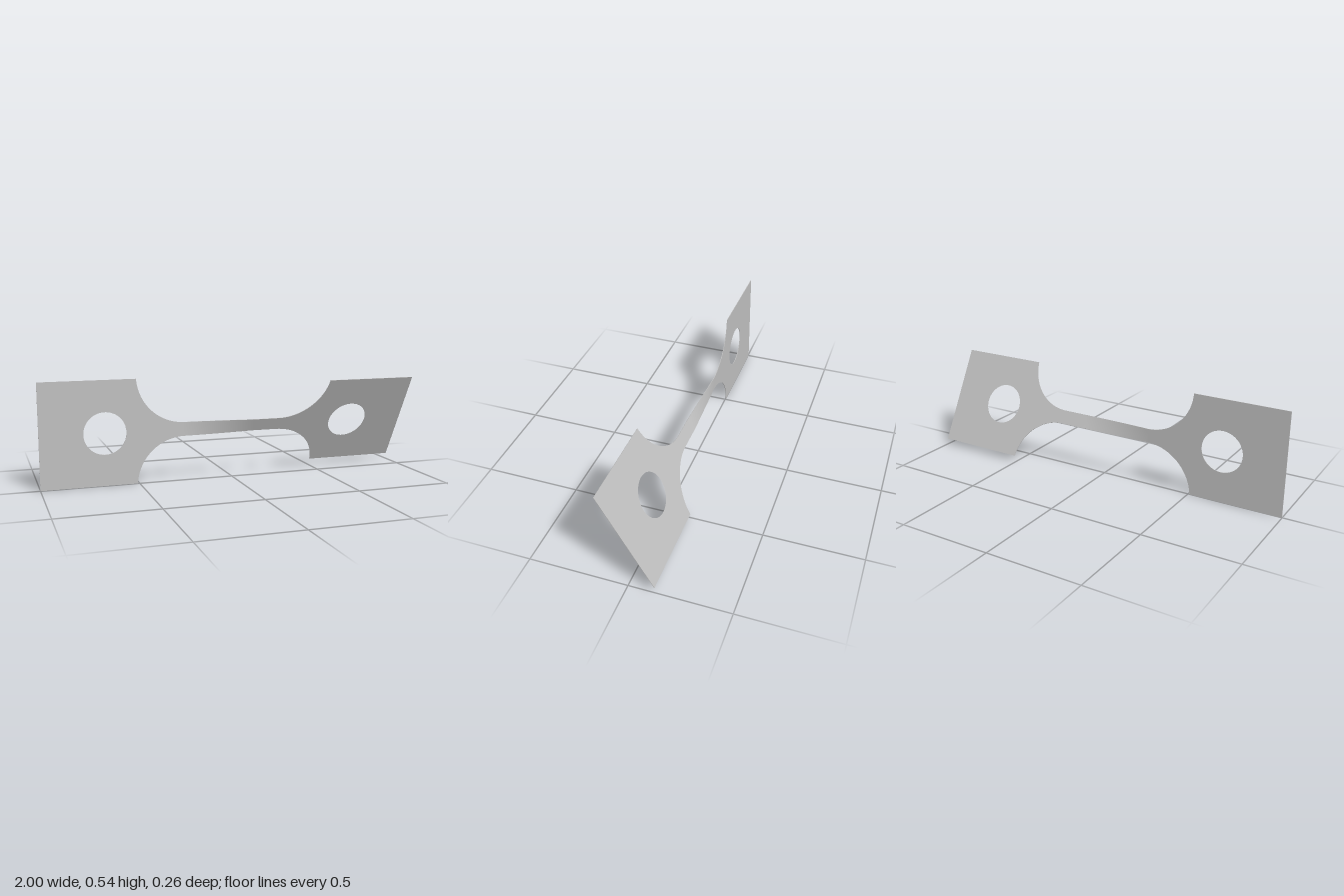
import * as THREE from 'three';

const T = 0.003;          // sheet thickness
const H = 0.2712;         // half height of the end plates
const G = 0.0365;         // half height of the narrow strip
const X0 = 0.26;          // where the strip meets the fillets
const R = 0.25;           // fillet radius
const ANGLE_LEFT = 0.01;  // tilt at the -x end
const ANGLE_RIGHT = 0.496; // tilt at the +x end

// End plate with two concave fillets and a round hole; side is +1 or -1
function endPlate(side, angle, material) {
  const pts = [];
  const sweep = Math.asin((G + R - H) / R);
  for (let i = 0; i <= 24; i++) {
    const a = -Math.PI / 2 + (i / 24) * (Math.PI / 2 - sweep);
    pts.push([X0 + R * Math.cos(a), G + R + R * Math.sin(a)]);
  }
  const outline = [
    ...pts, [1, H], [1, -H],
    ...pts.slice().reverse().map(([x, y]) => [x, -y]),
  ].map(([x, y]) => new THREE.Vector2(side * x, y));
  const shape = new THREE.Shape(outline);
  const hole = new THREE.Path();
  hole.absarc(side * 0.672, 0, 0.109, 0, Math.PI * 2, true);
  shape.holes.push(hole);
  const geo = new THREE.ExtrudeGeometry(shape, { depth: T, bevelEnabled: false, curveSegments: 48 });
  geo.translate(0, 0, -T / 2);
  const mesh = new THREE.Mesh(geo, material);
  mesh.rotation.x = angle;
  return mesh;
}

// Narrow strip twisted about its long axis
function twistedStrip(material) {
  const geo = new THREE.BoxGeometry(2 * X0, 2 * G, T, 60, 4, 1);
  const p = geo.attributes.position;
  const v = new THREE.Vector3();
  const axis = new THREE.Vector3(1, 0, 0);
  for (let i = 0; i < p.count; i++) {
    v.fromBufferAttribute(p, i);
    const t = THREE.MathUtils.clamp((v.x + X0) / (X0 + 0.12), 0, 1);
    v.applyAxisAngle(axis, THREE.MathUtils.lerp(ANGLE_LEFT, ANGLE_RIGHT, t));
    p.setXYZ(i, v.x, v.y, v.z);
  }
  geo.computeVertexNormals();
  return new THREE.Mesh(geo, material);
}

export function createModel() {
  const group = new THREE.Group();
  group.name = 'twistedSheetSpecimen';
  const metal = new THREE.MeshStandardMaterial({ color: 0xc0c0c0 });
  metal.name = 'light grey metal';

  const right = endPlate(-1, ANGLE_LEFT, metal);
  right.name = 'rightEndPlate';
  const left = endPlate(1, ANGLE_RIGHT, metal);
  left.name = 'leftEndPlate';
  const strip = twistedStrip(metal);
  strip.name = 'twistedStrip';

  for (const m of [right, left, strip]) {
    m.position.y = H;
    group.add(m);
  }
  return group;
}
